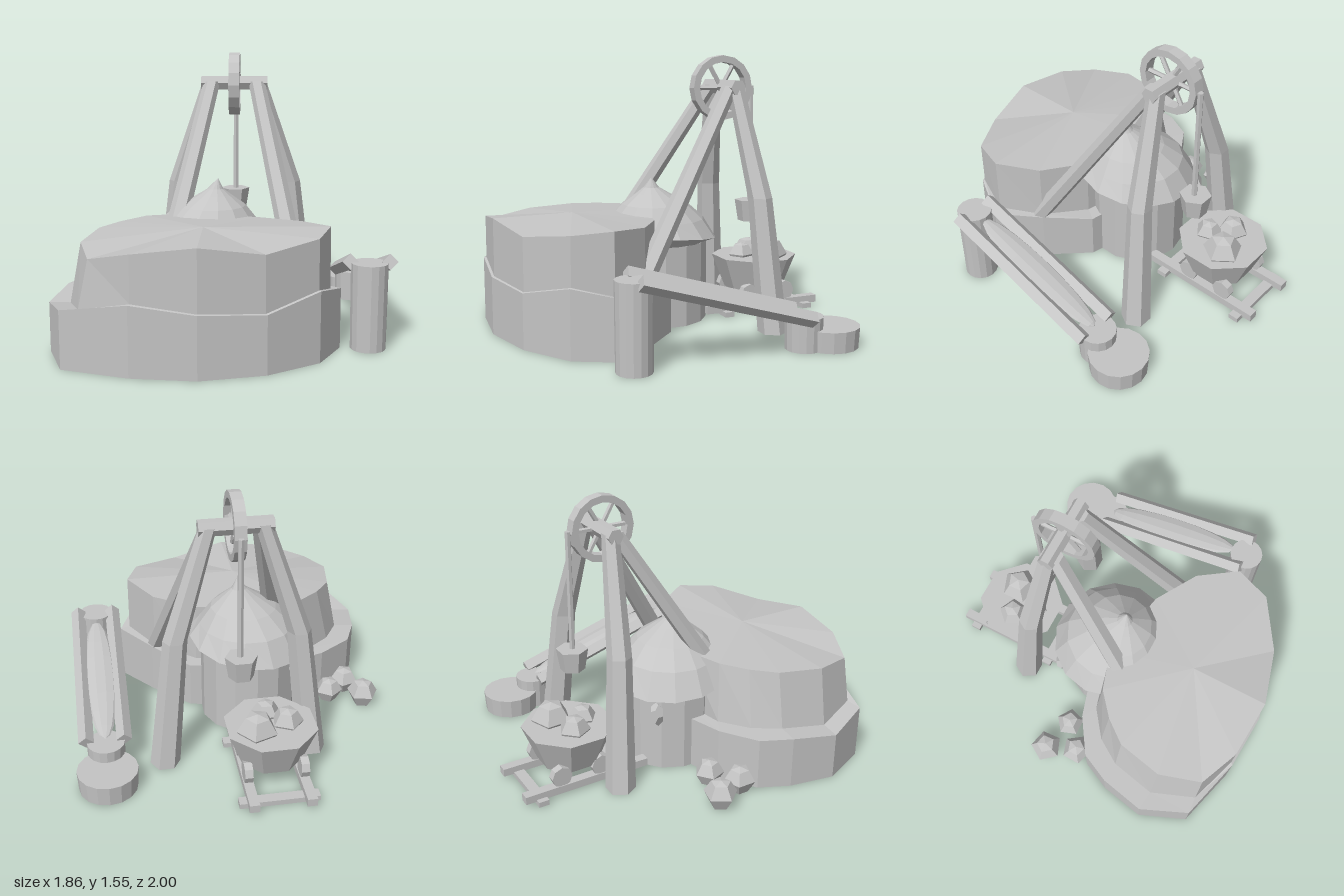
import * as THREE from 'three';

const stone = new THREE.MeshStandardMaterial({ color: 0xc4c4c4, flatShading: true, side: THREE.DoubleSide });
stone.name = 'plain grey';

const V = (x, y, z) => new THREE.Vector3(x, y, z);

function add(parent, name, geo, x = 0, y = 0, z = 0) {
  const m = new THREE.Mesh(geo, stone);
  m.name = name;
  m.position.set(x, y, z);
  parent.add(m);
  return m;
}

// Skin a stack of rings (each an array of Vector3, listed from low to high)
function loft(rings) {
  const pos = [];
  const n = rings[0].length;
  for (let r = 0; r < rings.length - 1; r++) {
    for (let i = 0; i < n; i++) {
      const j = (i + 1) % n;
      const a = rings[r][i], b = rings[r][j], c = rings[r + 1][j], d = rings[r + 1][i];
      if (c.distanceTo(d) > 1e-6) pos.push(...a.toArray(), ...d.toArray(), ...c.toArray());
      if (a.distanceTo(b) > 1e-6) pos.push(...a.toArray(), ...c.toArray(), ...b.toArray());
    }
  }
  const g = new THREE.BufferGeometry();
  g.setAttribute('position', new THREE.Float32BufferAttribute(pos, 3));
  g.computeVertexNormals();
  return g;
}

// Horizontal ring of n points
function ring(x, y, z, r, n) {
  return Array.from({ length: n }, (_, i) => {
    const t = (i / n) * Math.PI * 2;
    return V(x + r * Math.cos(t), y, z + r * Math.sin(t));
  });
}

// Round block with a closed top and an open underside
function drum(parent, name, x, z, r, h) {
  add(parent, name, loft([ring(x, 0, z, r * 0.96, 16), ring(x, h, z, r, 16), ring(x, h, z, 0, 16)]));
}

// Straight bar between two points
function strut(parent, name, a, b, r1, r2, sides) {
  const m = add(parent, name, new THREE.CylinderGeometry(r2, r1, a.distanceTo(b), sides));
  m.position.copy(a).lerp(b, 0.5);
  m.quaternion.setFromUnitVectors(V(0, 1, 0), b.clone().sub(a).normalize());
}

// Five-sided rock: each profile pair is height and radius
function boulder(parent, name, x, y, z, r, turn) {
  const profile = [[-0.8, 0], [-0.8, 0.55], [0, 1], [0.7, 0.58], [0.85, 0]];
  const m = add(parent, name, loft(profile.map(([h, w]) => ring(0, h * r, 0, w * r, 5))), x, y, z);
  m.rotation.y = turn;
}

export function createModel() {
  const model = new THREE.Group();
  model.name = 'mineHead';

  // Two-step rock mound: lower x, z, height, then upper x, z, height
  const outline = [
    [0.61, 0.49, 0.33, 0.55, 0.51, 0.67], [0.49, 0.73, 0.38, 0.48, 0.72, 0.65],
    [0.22, 0.91, 0.31, 0.21, 0.9, 0.61], [-0.12, 1, 0.33, -0.12, 0.985, 0.66],
    [-0.46, 0.975, 0.37, -0.45, 0.96, 0.62], [-0.82, 0.87, 0.31, -0.67, 0.86, 0.57],
    [-0.93, 0.6, 0.27, -0.75, 0.62, 0.6], [-0.88, 0.34, 0.3, -0.7, 0.36, 0.62],
    [-0.8, 0.17, 0.3, -0.6, 0.23, 0.63], [-0.6, 0.04, 0.3, -0.47, 0.12, 0.64],
    [-0.3, -0.05, 0.3, -0.25, 0.05, 0.64], [0.22, 0.06, 0.28, 0.17, 0.14, 0.64],
    [0.43, 0.27, 0.31, 0.41, 0.29, 0.65],
  ];
  const mix = THREE.MathUtils.lerp;
  const ledge = p => (p[0] < -0.5 ? 0.65 : 0.95);
  add(model, 'rockMound', loft([
    outline.map(p => V(p[0], 0, p[1])),
    outline.map(p => V(p[0], p[2], p[1])),
    outline.map(p => V(mix(p[0], p[3], ledge(p)), p[2] + 0.003, mix(p[1], p[4], ledge(p)))),
    outline.map(p => V(p[3], p[5], p[4])),
    outline.map(() => V(-0.12, 0.665, 0.53)),
  ]));

  // Round hut with a pointed dome roof
  add(model, 'hutWall', new THREE.CylinderGeometry(0.29, 0.29, 0.47, 14, 1, true), -0.13, 0.235, 0);
  const eaves = ring(-0.13, 0.495, 0.005, 0.355, 14);
  eaves.forEach((p, i) => { p.y += 0.04 * Math.sin((i / 14) * Math.PI * 2 + 0.8); });
  add(model, 'domeRoof', loft([
    ring(-0.13, 0.47, 0, 0.29, 14),
    eaves,
    ring(-0.12, 0.6, 0.015, 0.285, 14),
    ring(-0.1, 0.69, 0.03, 0.195, 14),
    ring(-0.085, 0.755, 0.05, 0.095, 14),
    ring(-0.08, 0.79, 0.06, 0.045, 14),
    ring(-0.065, 0.85, 0.065, 0, 14),
  ]));
  const lantern = add(model, 'lantern', new THREE.DodecahedronGeometry(0.042), -0.37, 0.37, -0.22);
  lantern.scale.y = 1.7;

  // Headframe: straight front legs, bent rear legs, top axle; each joint is x, y, z, radius
  const frame = new THREE.Group();
  frame.name = 'headframe';
  frame.position.x = 0.015;
  model.add(frame);
  const leg = (name, s, joints) => add(frame, name, loft([
    [...joints[0].slice(0, 3), 0], ...joints, [...joints[joints.length - 1].slice(0, 3), 0],
  ].map(([x, y, z, r]) => ring(s * x, y, z, r, 6))));
  for (const s of [-1, 1]) {
    leg('frontLeg', s, [[0.445, 0, 0.505, 0.068], [0.135, 1.38, -0.335, 0.05]]);
    leg('rearLeg', s, [[0.42, 0, -0.475, 0.085], [0.34, 0.76, -0.425, 0.068], [0.145, 1.38, -0.36, 0.048]]);
  }
  strut(frame, 'axle', V(-0.2, 1.37, -0.355), V(0.2, 1.37, -0.355), 0.046, 0.046, 6);

  // Winding wheel with a rim and spokes
  const wheel = new THREE.Group();
  wheel.name = 'windingWheel';
  wheel.position.set(0.017, 1.365, -0.34);
  wheel.rotation.y = Math.PI / 2;
  model.add(wheel);
  const rim = new THREE.Shape().absarc(0, 0, 0.187, 0, Math.PI * 2);
  rim.holes.push(new THREE.Path().absarc(0, 0, 0.148, 0, Math.PI * 2, true));
  add(wheel, 'rim', new THREE.ExtrudeGeometry(rim, { depth: 0.064, bevelEnabled: false, curveSegments: 8 }), 0, 0, -0.032);
  for (let i = 0; i < 6; i++) {
    const t = (i * Math.PI) / 3;
    strut(wheel, 'spoke', V(0, 0, 0), V(0.155 * Math.cos(t), 0.155 * Math.sin(t), 0), 0.014, 0.014, 5);
  }

  // Hanging rope and bucket
  strut(model, 'rope', V(0.02, 0.69, -0.535), V(0.02, 1.375, -0.535), 0.017, 0.017, 6);
  const bucket = add(model, 'bucket', new THREE.CylinderGeometry(0.09, 0.07, 0.125, 6), 0.015, 0.632, -0.54);
  bucket.rotation.y = Math.PI / 6;

  // Sloping water channel between a post and a basin
  const channel = new THREE.Group();
  channel.name = 'waterChannel';
  model.add(channel);
  drum(channel, 'post', 0.76, 0.485, 0.1, 0.47);
  drum(channel, 'basin', 0.762, -0.635, 0.168, 0.115);
  drum(channel, 'spillBowl', 0.76, -0.48, 0.105, 0.18);
  for (const x of [0.658, 0.868]) {
    strut(channel, 'channelRail', V(x, 0.475, 0.49), V(x, 0.185, -0.48), 0.043, 0.043, 4);
  }
  const stream = new THREE.SphereGeometry(1, 10, 10).rotateX(Math.PI / 2).scale(0.09, 0.03, 0.45);
  add(channel, 'waterStream', stream, 0.762, 0.315, -0.03).rotation.x = -Math.atan2(0.29, 0.97);

  // Ore cart on its track
  const cart = new THREE.Group();
  cart.name = 'oreCart';
  model.add(cart);
  const tub = add(cart, 'tub', new THREE.CylinderGeometry(0.262, 0.18, 0.205, 8), -0.13, 0.22, -0.65);
  tub.rotation.y = Math.PI / 8;
  for (const x of [-0.29, 0.02]) {
    add(cart, 'rail', new THREE.BoxGeometry(0.055, 0.045, 0.75), x, 0.042, -0.625);
    for (const z of [-0.78, -0.54]) {
      const w = add(cart, 'cartWheel', new THREE.CylinderGeometry(0.06, 0.06, 0.045, 8), x, 0.115, z);
      w.rotation.z = Math.PI / 2;
    }
  }
  for (const z of [-0.91, -0.38]) {
    add(cart, 'sleeper', new THREE.BoxGeometry(0.44, 0.03, 0.06), -0.13, 0.015, z);
  }
  boulder(cart, 'ore', -0.22, 0.335, -0.655, 0.09, 0.5);
  boulder(cart, 'ore', -0.045, 0.335, -0.71, 0.115, 1.3);
  boulder(cart, 'ore', -0.12, 0.335, -0.555, 0.08, 2.2);

  // Loose boulders beside the mound
  boulder(model, 'boulder', -0.83, 0.08, -0.1, 0.095, 0.7);
  boulder(model, 'boulder', -0.63, 0.085, -0.04, 0.085, 1.6);
  boulder(model, 'boulder', -0.76, 0.072, 0.075, 0.09, 2.5);

  return model;
}
